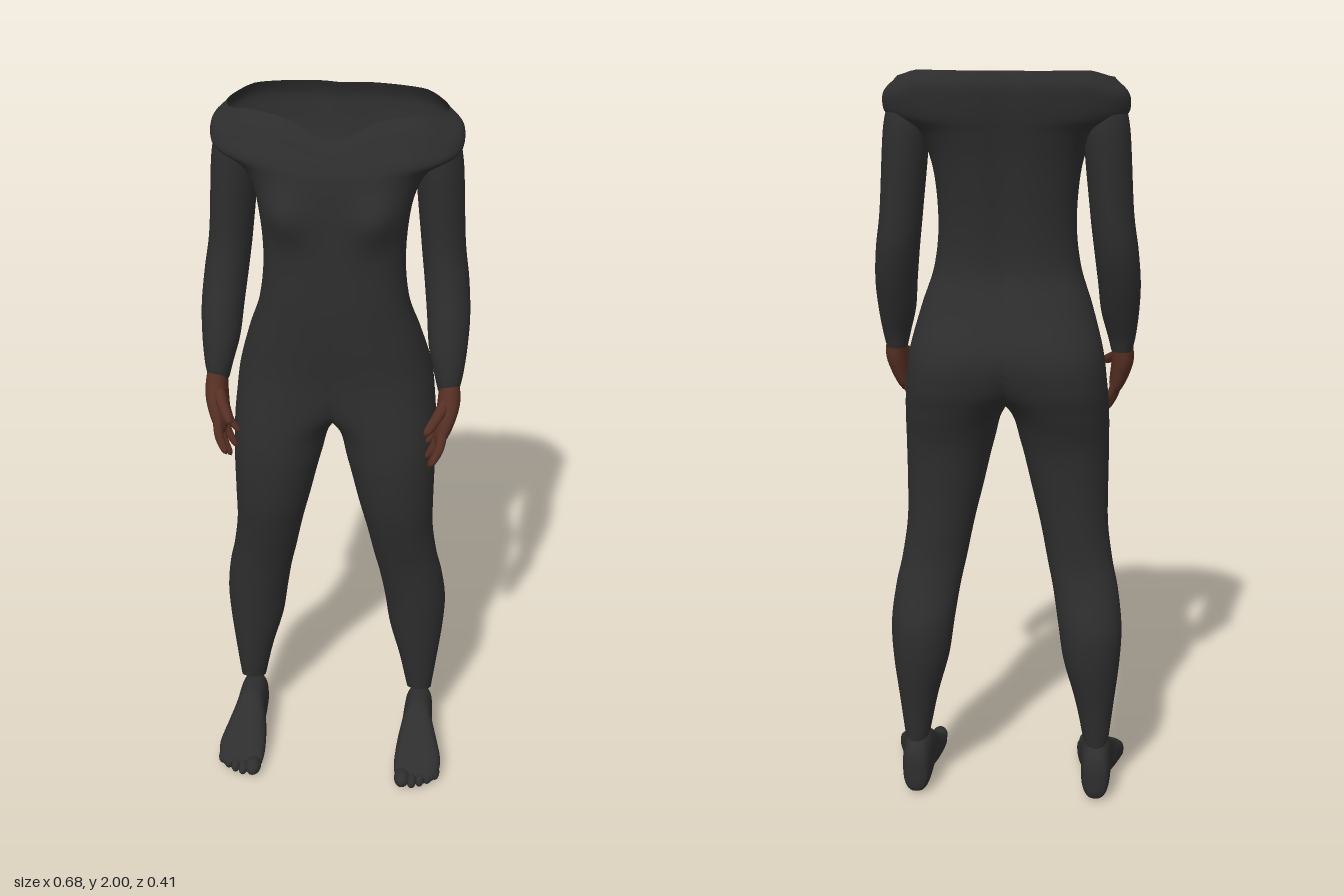
import * as THREE from 'three';
import { mergeGeometries, mergeVertices } from 'three/addons/utils/BufferGeometryUtils.js';

const smooth = THREE.MathUtils.smoothstep;
const bump = (d, w) => Math.exp(-(d * d) / (w * w));
const signedPow = (v, p) => Math.sign(v) * Math.pow(Math.abs(v), p);

// Smooth (Catmull-Rom) value of every column of a section table at u in 0..1
function sampleRow(rows, u) {
  const f = u * (rows.length - 1);
  const i = Math.min(Math.floor(f), rows.length - 2);
  const t = f - i;
  const at = (k) => rows[Math.max(0, Math.min(rows.length - 1, k))];
  return rows[i].map((_, c) => {
    const a = at(i - 1)[c], b = at(i)[c], d = at(i + 1)[c], e = at(i + 2)[c];
    return 0.5 * (2 * b + (d - a) * t + (2 * a - 5 * b + 4 * d - e) * t * t + (3 * b - a - 3 * d + e) * t * t * t);
  });
}

// Skin through sections [position, inner x, outer x, high b, low b].
// place(x, b, position) turns a section point into a 3D point.
function loft(rows, steps, sides, { place, round, centre = (s, x0, x1) => (x0 + x1) / 2, capped = false }) {
  const pos = [], index = [];
  for (let i = 0; i <= steps; i++) {
    const [s, x0, x1, b1, b0] = sampleRow(rows, i / steps);
    const cx = centre(s, x0, x1), p = round(s);
    for (let j = 0; j < sides; j++) {
      const a = (j / sides) * Math.PI * 2;
      const c = signedPow(Math.cos(a), p), d = signedPow(Math.sin(a), p);
      const x = Math.max(0, cx + c * (c > 0 ? x1 - cx : cx - x0));
      pos.push(...place(x, (b0 + b1) / 2 + (d * (b1 - b0)) / 2, s));
    }
  }
  // leave out faces lying on the mirror plane
  const face = (...corners) => {
    if (corners.some((k) => pos[k * 3] > 1e-4)) index.push(...corners);
  };
  for (let i = 0; i < steps; i++) {
    for (let j = 0; j < sides; j++) {
      const k = (j + 1) % sides;
      const a = i * sides + j, b = a + sides, c = i * sides + k, d = c + sides;
      face(a, b, c);
      face(b, d, c);
    }
  }
  if (capped) {
    const e = steps * sides;
    for (let j = 1; j < sides - 1; j++) {
      face(0, j, j + 1);
      face(e, e + j + 1, e + j);
    }
  }
  const g = new THREE.BufferGeometry();
  g.setAttribute('position', new THREE.Float32BufferAttribute(pos, 3));
  g.setIndex(index);
  g.computeVertexNormals();
  return g;
}

function mirrored(g) {
  const m = g.clone().scale(-1, 1, 1);
  const ix = m.index.array;
  for (let i = 0; i < ix.length; i += 3) [ix[i], ix[i + 1]] = [ix[i + 1], ix[i]];
  m.computeVertexNormals();
  return m;
}

// Tapered finger with a rounded tip
function fingerGeometry(points, r) {
  const curve = new THREE.CatmullRomCurve3(points.map((p) => new THREE.Vector3(...p)));
  const g = new THREE.TubeGeometry(curve, 16, r, 10);
  const p = g.attributes.position, v = new THREE.Vector3();
  for (let i = 0; i < p.count; i++) {
    const t = Math.floor(i / 11) / 16;
    const c = curve.getPointAt(t);
    v.fromBufferAttribute(p, i).sub(c).multiplyScalar((1 - 0.3 * t) * Math.sqrt(1 - t ** 10)).add(c);
    p.setXYZ(i, v.x, v.y, v.z);
  }
  g.deleteAttribute('uv');
  g.deleteAttribute('normal');
  const m = mergeVertices(g);
  m.computeVertexNormals();
  return m;
}

// Half of the trunk plus one leg, from ankle to open neckline
const BODY = [
  [0.18, 0.215, 0.287, -0.022, -0.108],
  [0.3, 0.19, 0.3, -0.012, -0.13],
  [0.42, 0.158, 0.312, 0, -0.152],
  [0.52, 0.143, 0.315, 0.01, -0.155],
  [0.62, 0.127, 0.303, 0.022, -0.13],
  [0.7, 0.11, 0.286, 0.036, -0.115],
  [0.8, 0.09, 0.272, 0.06, -0.115],
  [0.9, 0.066, 0.27, 0.08, -0.12],
  [1.03, 0.035, 0.27, 0.09, -0.135],
  [1.13, 0.001, 0.268, 0.087, -0.168],
  [1.2, -0.1, 0.262, 0.082, -0.192],
  [1.29, -0.22, 0.25, 0.079, -0.2],
  [1.4, -0.3, 0.22, 0.088, -0.162],
  [1.5, -0.3, 0.188, 0.094, -0.133],
  [1.62, -0.3, 0.176, 0.093, -0.138],
  [1.76, -0.3, 0.189, 0.09, -0.16],
  [1.84, -0.3, 0.225, 0.085, -0.178],
  [1.88, -0.3, 0.293, 0.073, -0.188],
  [1.92, -0.3, 0.306, 0.057, -0.196],
  [1.96, -0.3, 0.298, 0.042, -0.2],
  [1.995, -0.3, 0.265, 0.025, -0.19],
];
const bodyRound = (y) => 1 - 0.2 * smooth(y, 0.8, 1.7) + 0.1 * smooth(y, 1.8, 1.95);
const bodyCentre = (y, x0, x1) => ((Math.max(0, x0) + x1) / 2) * (1 - smooth(y, 1.1, 1.5));

function placeBody(x, z, y) {
  const front = smooth(z, -0.1, 0);
  const back = 1 - smooth(z, -0.14, -0.08);
  const top = smooth(y, 1.86, 1.995);
  // bust, spine groove and point of the neckline
  const z2 = z + front * 0.03 * bump(x - 0.115, 0.06) * bump(y - 1.75, 0.06)
    + back * 0.012 * bump(x, 0.035) * smooth(y, 1.35, 1.5)
    + front * top * 0.025 * bump(x, 0.08);
  // neckline dip in front, low shoulder edges, slanted ankle hem
  const y2 = y - top * (front * (0.012 + 0.05 * bump(x, 0.08)) + 0.02 * smooth(x, 0.2, 0.28))
    + (1 - smooth(y, 0.18, 0.26)) * (z + 0.065) * 0.5;
  return [x, y2, z2];
}

const ARM = [
  [1.27, 0.27, 0.325, 0.052, -0.018],
  [1.31, 0.26, 0.333, 0.055, -0.03],
  [1.38, 0.242, 0.34, 0.047, -0.062],
  [1.46, 0.233, 0.342, 0.03, -0.095],
  [1.55, 0.222, 0.334, 0.008, -0.122],
  [1.65, 0.21, 0.32, -0.004, -0.132],
  [1.84, 0.192, 0.307, 0.004, -0.143],
  [1.91, 0.205, 0.293, -0.002, -0.13],
];

const PALM = [
  [1.145, 0.272, 0.292, 0.105, 0.03],
  [1.165, 0.266, 0.305, 0.115, 0.012],
  [1.2, 0.268, 0.32, 0.108, 0],
  [1.245, 0.272, 0.33, 0.085, -0.012],
  [1.31, 0.275, 0.323, 0.045, -0.014],
];

// path and radius; the last one is the thumb
const FINGERS = [
  [[[0.29, 1.185, 0.1], [0.284, 1.15, 0.122], [0.263, 1.108, 0.142]], 0.0135],
  [[[0.288, 1.175, 0.075], [0.28, 1.13, 0.092], [0.258, 1.08, 0.103]], 0.0135],
  [[[0.284, 1.175, 0.048], [0.272, 1.13, 0.06], [0.248, 1.085, 0.068]], 0.013],
  [[[0.282, 1.18, 0.024], [0.27, 1.145, 0.03], [0.245, 1.11, 0.035]], 0.0115],
  [[[0.292, 1.25, 0.06], [0.272, 1.228, 0.105], [0.247, 1.207, 0.153]], 0.0165],
];

// from the toes back to the heel
const FOOT = [
  [0.172, 0.205, 0.305, 0.034, 0.008],
  [0.15, 0.197, 0.322, 0.052, 0.003],
  [0.11, 0.194, 0.33, 0.08, 0.002],
  [0.05, 0.199, 0.315, 0.113, 0.002],
  [0, 0.208, 0.298, 0.153, 0.002],
  [-0.05, 0.21, 0.295, 0.156, 0],
  [-0.095, 0.213, 0.292, 0.148, 0.001],
  [-0.118, 0.222, 0.284, 0.13, 0.008],
  [-0.126, 0.24, 0.266, 0.09, 0.03],
];

// x, z, half width, half length, half height
const TOES = [
  [0.221, 0.172, 0.023, 0.033, 0.024],
  [0.25, 0.172, 0.015, 0.031, 0.019],
  [0.273, 0.165, 0.014, 0.029, 0.019],
  [0.295, 0.152, 0.014, 0.028, 0.019],
  [0.316, 0.135, 0.014, 0.026, 0.019],
];

export function createModel() {
  const model = new THREE.Group();
  model.name = 'body';
  const suit = new THREE.MeshStandardMaterial({ color: 0x2e2e2e, side: THREE.DoubleSide });
  suit.name = 'charcoal suit';
  const skin = new THREE.MeshStandardMaterial({ color: 0x552f23, side: THREE.DoubleSide });
  skin.name = 'brown skin';

  const add = (name, g, material, parent = model) => {
    const mesh = new THREE.Mesh(g, material);
    mesh.name = name;
    parent.add(mesh);
  };
  const upright = (x, z, y) => [x, y, z];
  const lengthwise = (x, y, z) => [x, y, z];

  // Trunk and legs: two halves welded along the middle
  const half = loft(BODY, 130, 64, { place: placeBody, round: bodyRound, centre: bodyCentre });
  const whole = mergeGeometries([half, mirrored(half)]);
  whole.deleteAttribute('normal');
  const trunk = mergeVertices(whole, 1e-5);
  trunk.computeVertexNormals();
  add('trunkAndLegs', trunk, suit);

  // Parts made once and mirrored
  const arm = loft(ARM, 48, 32, { place: upright, round: () => 1 });
  const palm = loft(PALM, 24, 24, { place: upright, round: () => 0.93, capped: true });
  const foot = loft(FOOT, 48, 32, { place: lengthwise, round: () => 0.77, capped: true });
  const fingers = FINGERS.map(([points, r]) => fingerGeometry(points, r));
  const toes = TOES.map(([x, z, w, l, h]) => new THREE.SphereGeometry(1, 16, 12).scale(w, h, l).translate(x, h + 0.003, z));

  for (const side of ['left', 'right']) {
    const flip = (g) => (side === 'left' ? g : mirrored(g));
    add(side + 'Arm', flip(arm), suit);
    const hand = new THREE.Group();
    hand.name = side + 'Hand';
    add('palm', flip(palm), skin, hand);
    fingers.forEach((g, i) => add(i < 4 ? 'finger' + (i + 1) : 'thumb', flip(g), skin, hand));
    const footGroup = new THREE.Group();
    footGroup.name = side + 'Foot';
    add('foot', flip(foot), suit, footGroup);
    toes.forEach((g, i) => add('toe' + (i + 1), flip(g), suit, footGroup));
    model.add(hand, footGroup);
  }
  return model;
}
